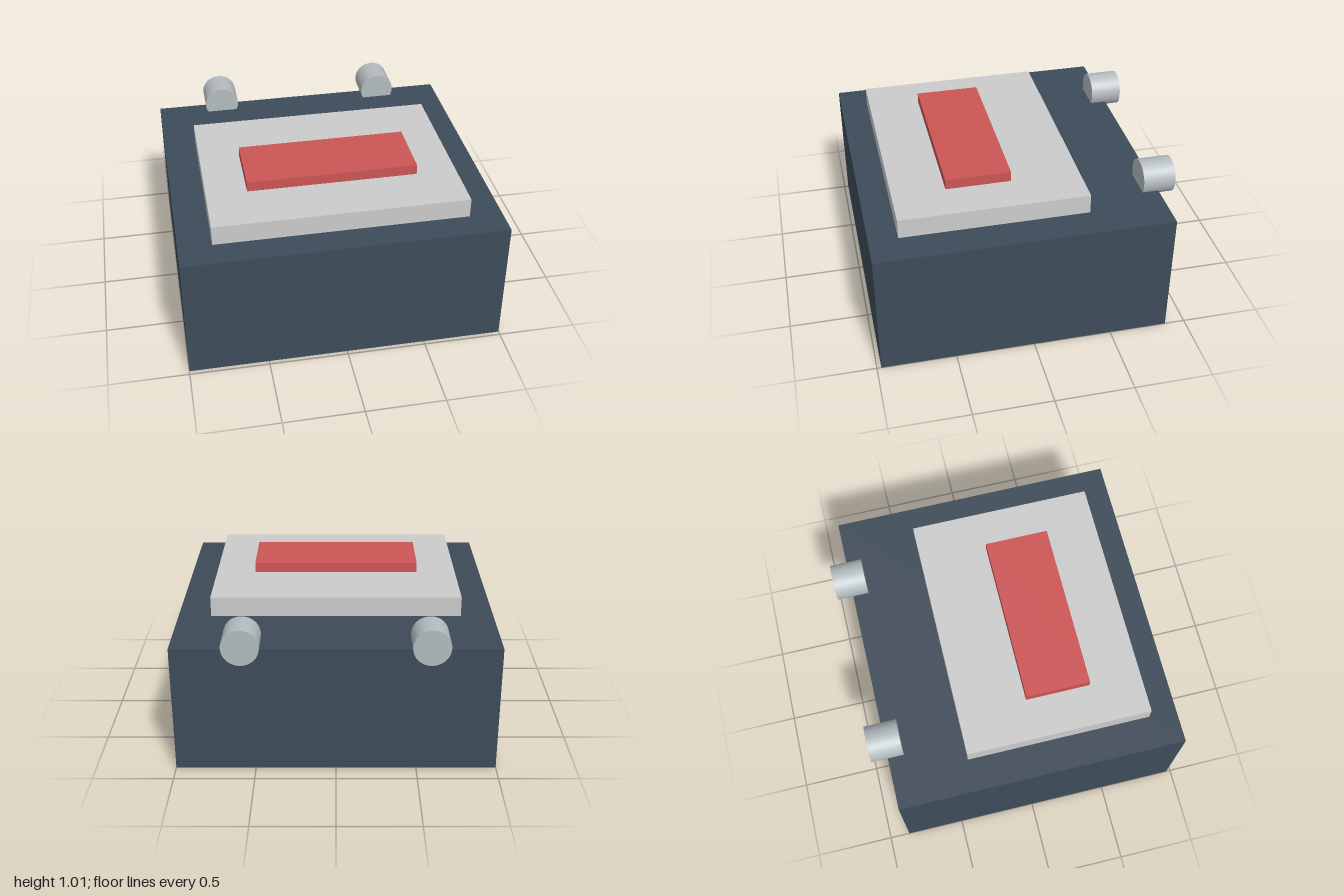
import * as THREE from 'three';

function createModel() {
  const group = new THREE.Group();
  const add = (name, geometry, color, x, y, z) => {
    const mesh = new THREE.Mesh(geometry, new THREE.MeshStandardMaterial({ color }));
    mesh.name = name;
    mesh.position.set(x, y, z);
    group.add(mesh);
    return mesh;
  };
  // Block given by its width and its y and z ranges
  const block = (name, color, w, y0, y1, z0, z1) =>
    add(name, new THREE.BoxGeometry(w, y1 - y0, z1 - z0), color, 0, (y0 + y1) / 2, (z0 + z1) / 2);

  // Main housing with the stepped plates on top
  block('body', 0x3d4b58, 2, 0, 0.823, -0.871, 0.973);
  block('topPlate', 0xcccfcf, 1.586, 0.823, 0.949, -0.387, 0.793);
  block('redPanel', 0xcc5555, 1.074, 0.949, 1.014, 0.05, 0.46);

  // Round connectors half sunk into the rear top edge
  for (const [name, side] of [['leftConnector', 1], ['rightConnector', -1]]) {
    const geometry = new THREE.CylinderGeometry(0.114, 0.114, 0.205, 32);
    add(name, geometry, 0xb4bcc0, side * 0.564, 0.877, -0.8705).rotation.x = Math.PI / 2;
  }
  return group;
}

export { createModel };
